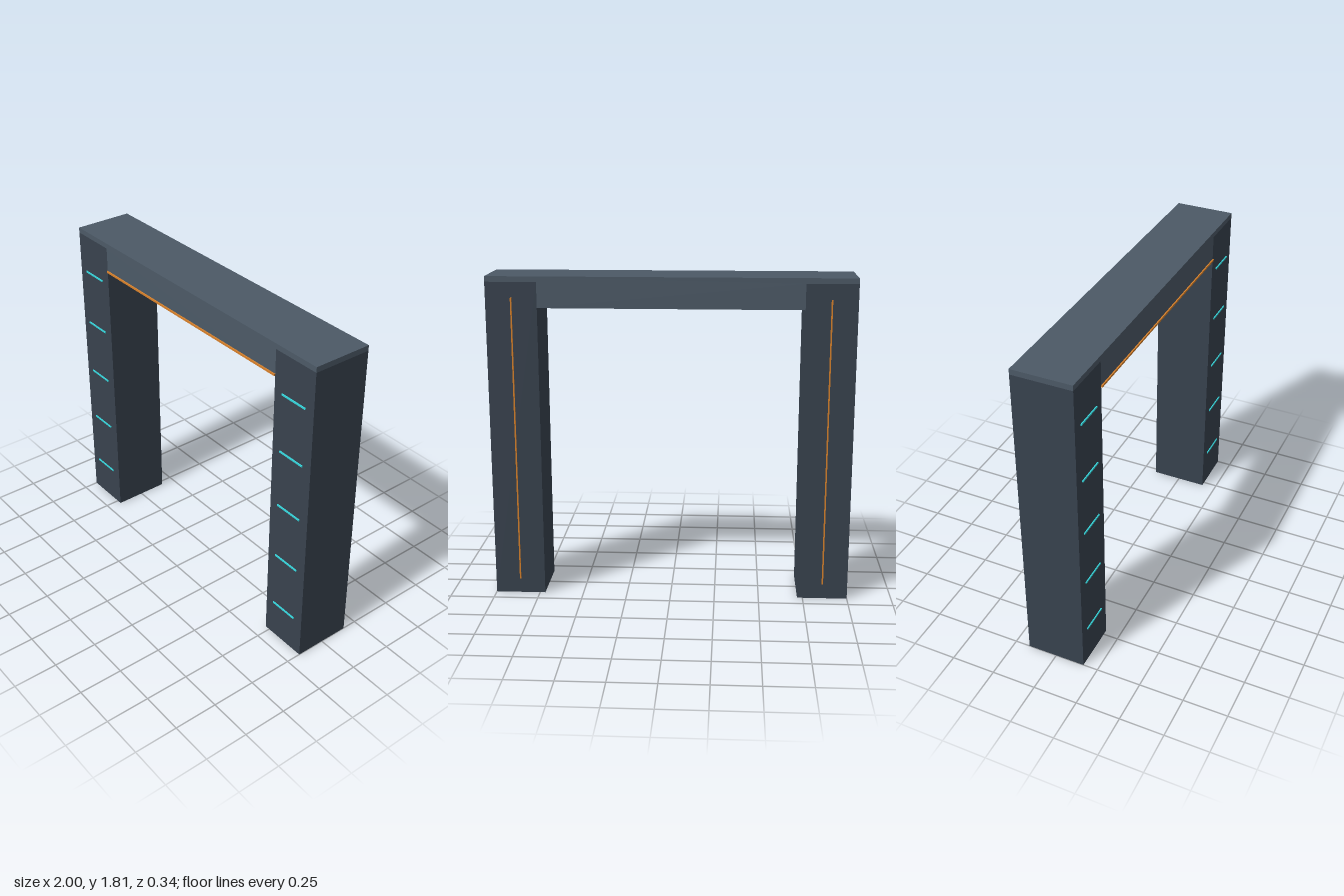
import * as THREE from 'three';

const material = (color) => new THREE.MeshStandardMaterial({ color });

export function createModel() {
  const model = new THREE.Group();
  model.name = 'gateway';

  const pillarMat = material(0x38424e);
  const beamMat = material(0x4c5966);
  const tealMat = material(0x35d6dc);
  const orangeMat = material(0xd9822b);

  const depth = 0.332, front = depth / 2;
  const inner = 0.72, pillarTop = 1.78, beamBottom = 1.64, top = 1.81;

  function addBox(parent, name, mat, size, position) {
    const mesh = new THREE.Mesh(new THREE.BoxGeometry(...size), mat);
    mesh.name = name;
    mesh.position.set(...position);
    parent.add(mesh);
  }

  // Pillars with front light strips and a vertical rear strip
  for (const side of [-1, 1]) {
    const pillar = new THREE.Group();
    pillar.name = side > 0 ? 'leftPillar' : 'rightPillar';
    pillar.position.x = side * (1 + inner) / 2;
    addBox(pillar, 'pillarBody', pillarMat, [1 - inner, pillarTop, depth], [0, pillarTop / 2, 0]);
    for (let i = 0; i < 5; i++) {
      addBox(pillar, 'lightStrip', tealMat, [0.166, 0.009, 0.012], [0, 0.225 + i * 0.333, front]);
    }
    addBox(pillar, 'rearStrip', orangeMat, [0.008, 1.61, 0.01], [0, 0.89, -front]);
    model.add(pillar);
  }

  // Crossbeam: its ends are notched to sit over the pillar tops
  const profile = new THREE.Shape([
    [-1, pillarTop], [-inner, pillarTop], [-inner, beamBottom], [inner, beamBottom],
    [inner, pillarTop], [1, pillarTop], [1, top], [-1, top],
  ].map(([x, y]) => new THREE.Vector2(x, y)));
  const beamGeometry = new THREE.ExtrudeGeometry(profile, { depth, bevelEnabled: false });
  beamGeometry.translate(0, 0, -front);
  const beam = new THREE.Mesh(beamGeometry, beamMat);
  beam.name = 'crossbeam';
  model.add(beam);

  // Trim along the lower front edge of the beam
  addBox(model, 'beamTrim', orangeMat, [inner * 2, 0.011, 0.014], [0, 1.639, front]);

  return model;
}
